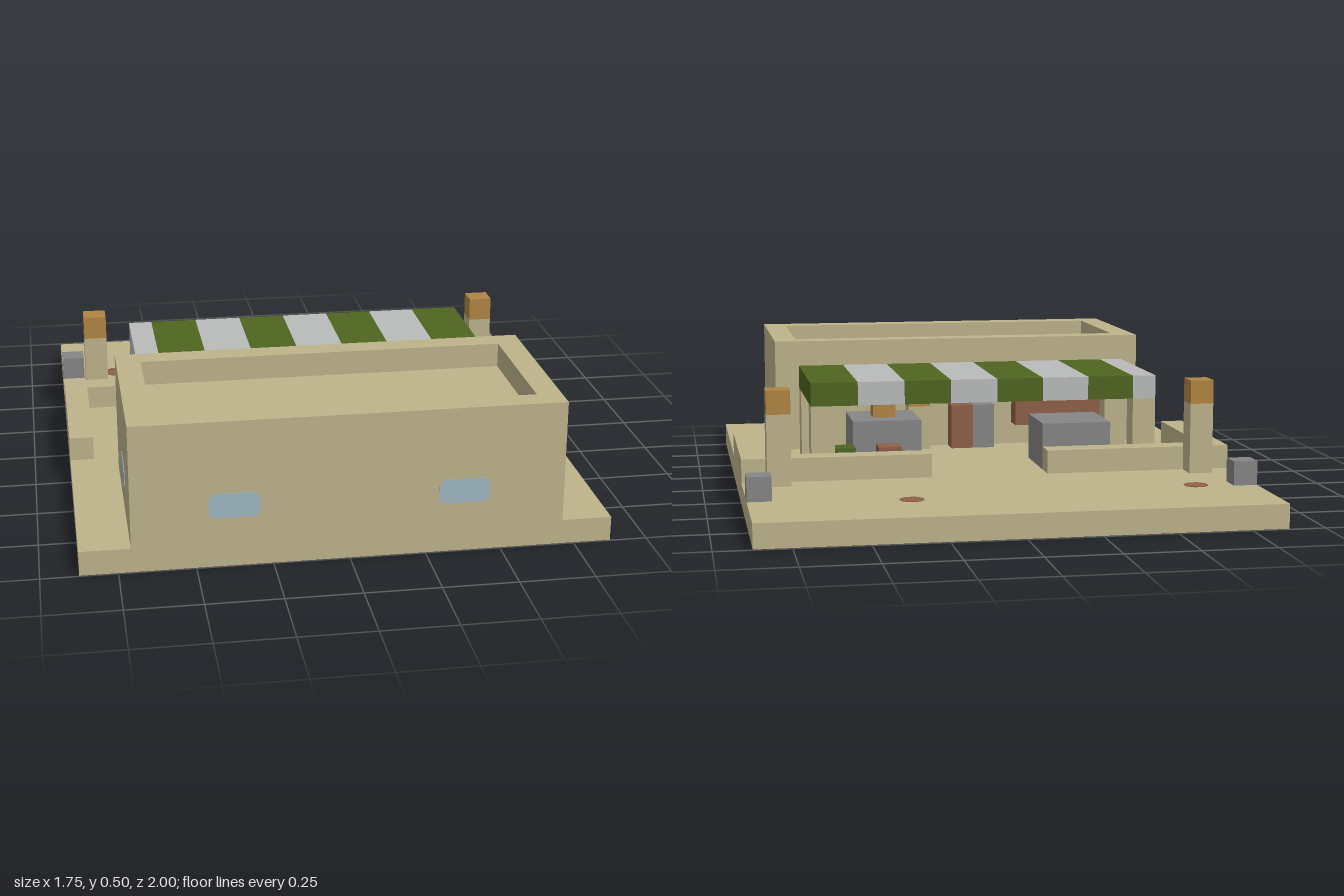
import * as THREE from 'three';

const U = 1 / 12; // one block
const material = (name, color) => {
  const m = new THREE.MeshStandardMaterial({ color });
  m.name = name;
  return m;
};

export function createModel() {
  const model = new THREE.Group();
  model.name = 'courtyardHouse';
  const sand = material('sandstone', 0xbdb28a);
  const green = material('green', 0x4f6420);
  const pale = material('paleGrey', 0xb9bbba);
  const stone = material('stoneGrey', 0x858585);
  const amber = material('amber', 0xb08443);
  const clay = material('clayBrown', 0x8d6049);
  const glass = material('paleBlue', 0x9db6c1);

  // Box given by its lower and upper corners, in blocks
  const box = (name, mat, [x0, y0, z0], [x1, y1, z1]) => {
    const mesh = new THREE.Mesh(
      new THREE.BoxGeometry((x1 - x0) * U, (y1 - y0) * U, (z1 - z0) * U), mat);
    mesh.position.set((x0 + x1) / 2 * U, (y0 + y1) / 2 * U, (z0 + z1) / 2 * U);
    mesh.name = name;
    model.add(mesh);
  };
  // Same box on both sides of the model
  const pair = (name, mat, a, b) => {
    box(name + 'Left', mat, a, b);
    box(name + 'Right', mat, [-b[0], a[1], a[2]], [-a[0], b[1], b[2]]);
  };

  box('base', sand, [-10.5, 0, -12], [10.5, 1, 12]);

  // House with a sunken roof inside a parapet
  box('house', sand, [-8.5, 1, 4], [8.5, 5, 12]);
  box('parapetFront', sand, [-8.5, 5, 11], [8.5, 6, 12]);
  box('parapetBack', sand, [-8.5, 5, 4], [8.5, 6, 5]);
  pair('parapetSide', sand, [7.5, 5, 5], [8.5, 6, 11]);

  // Windows: thin plates with clipped corners
  const w = U, h = U / 2, c = 0.016;
  const pane = new THREE.Shape([
    [-w + c, -h], [w - c, -h], [w, -h + c], [w, h - c],
    [w - c, h], [-w + c, h], [-w, h - c], [-w, -h + c],
  ].map(([x, y]) => new THREE.Vector2(x, y)));
  const paneGeometry = new THREE.ExtrudeGeometry(pane, { depth: 0.002, bevelEnabled: false });
  const addWindow = (name, x, z, turn) => {
    const mesh = new THREE.Mesh(paneGeometry, glass);
    mesh.position.set(x, 2.55 * U, z);
    mesh.rotation.y = turn;
    mesh.name = name;
    model.add(mesh);
  };
  for (const s of [-1, 1]) {
    const side = s > 0 ? 'Left' : 'Right';
    addWindow('frontWindow' + side, s * 4.5 * U, 1, 0);
    addWindow('sideWindow' + side, s * 8.5 * U, 8 * U, s * Math.PI / 2);
  }

  // Low courtyard wall with a gap at the back
  pair('sideWall', sand, [9.5, 1, -4], [10.5, 2, 3]);
  pair('backWall', sand, [2.5, 1, -4], [9.5, 2, -3]);

  // Lamp pillars and loose stones
  pair('lampPillar', sand, [8.5, 1, -5], [9.5, 4, -4]);
  pair('lamp', amber, [8.5, 4, -5], [9.5, 5, -4]);
  pair('looseStone', stone, [9.5, 1, -8], [10.5, 2, -7]);

  // Striped awning on four posts
  const stripes = [-7.5, -6.5, -4.5, -2.5, -0.5, 1.5, 3.5, 5.5, 7.5];
  for (let i = 0; i < 8; i++) {
    box('awningStripe' + (i + 1), i % 2 ? green : pale, [stripes[i], 4, -3], [stripes[i + 1], 5, 3]);
  }
  pair('awningFrontPost', sand, [6.5, 1, 2], [7.5, 4, 3]);
  pair('awningBackPost', sand, [6.5, 1, -3], [7.5, 4, -2]);

  // Stone tables and goods beneath the awning
  box('stoneTableLeft', stone, [2.5, 1, -1], [5.5, 3, 2]);
  box('stoneTableRight', stone, [-5.5, 1, -3], [-2.5, 3, 0]);
  box('tableLamp', amber, [3.5, 3, 0], [4.5, 4, 1]);
  box('plant', green, [5.5, 1, -2], [6.5, 2, -1]);
  box('smallCrate', clay, [3.5, 1, -2], [4.5, 2, -1]);

  // Things along the back of the house
  for (let i = 0; i < 5; i++) {
    box('shelfCrate' + (i + 1), clay, [-7.5 + i, 2, 3], [-6.5 + i, 4, 4]);
  }
  box('wallStone', stone, [-1.5, 1, 3], [-0.5, 3, 4]);
  box('wallCrate', clay, [-0.5, 1, 3], [0.5, 3, 4]);
  box('wallLampPost', sand, [1.5, 1, 3], [2.5, 3, 4]);
  box('wallLamp', amber, [1.5, 3, 3], [2.5, 4, 4]);

  // Clay discs set through the base
  for (const [i, x, z] of [[1, -8, -7.6], [2, 4, -8.6]]) {
    const geometry = new THREE.CylinderGeometry(0.043, 0.043, U + 0.004, 8);
    geometry.rotateY(Math.PI / 8);
    const disc = new THREE.Mesh(geometry, clay);
    disc.position.set(x * U, U / 2, z * U);
    disc.name = 'clayDisc' + i;
    model.add(disc);
  }
  return model;
}
